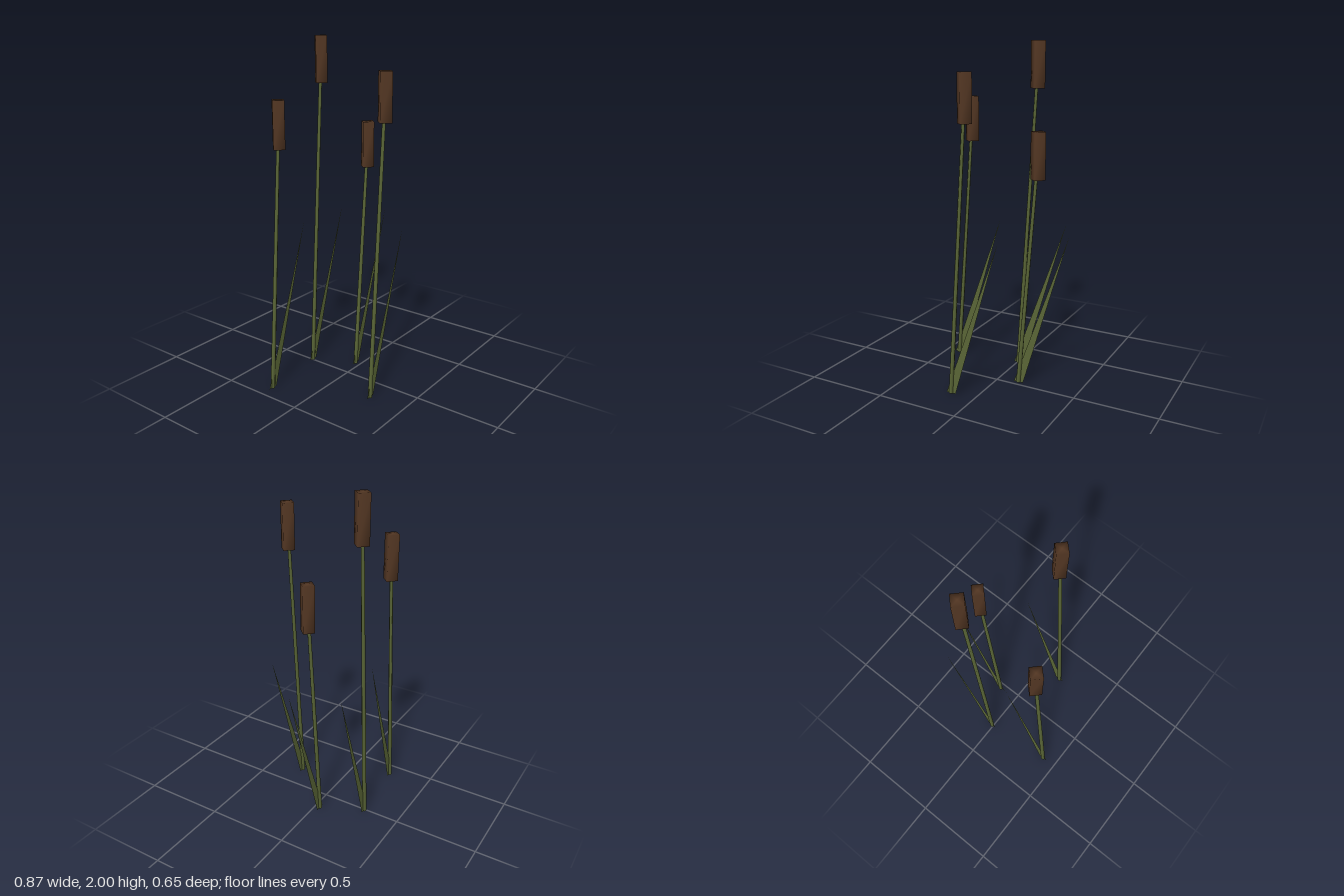
import * as THREE from 'three';
import { mergeVertices } from 'three/addons/utils/BufferGeometryUtils.js';

const green = new THREE.MeshStandardMaterial({ color: 0x5a6636, side: THREE.DoubleSide });
green.name = 'reed green';
const brown = new THREE.MeshStandardMaterial({ color: 0x553824 });
brown.name = 'seed head brown';

const HEAD_HEIGHT = 0.268;
const LEAN = 0.11;

// Share vertices across all edges, caps included, for soft shading
function soften(geometry) {
  geometry.deleteAttribute('normal');
  geometry.deleteAttribute('uv');
  const merged = mergeVertices(geometry, 1e-4);
  merged.computeVertexNormals();
  return merged;
}

// Tapered stalk sheared sideways so that it leans towards +x
function stemGeometry(height) {
  const g = new THREE.CylinderGeometry(0.01, 0.014, height, 5);
  g.translate(0, height / 2, 0);
  const p = g.attributes.position;
  for (let i = 0; i < p.count; i++) p.setX(i, p.getX(i) + LEAN * p.getY(i) / height);
  return soften(g);
}

// Flat blade tapering to a point
function leafGeometry() {
  const s = new THREE.Shape();
  s.moveTo(-0.03, 0);
  s.lineTo(0.03, 0);
  s.lineTo(0.305, 0.94);
  s.closePath();
  return new THREE.ShapeGeometry(s);
}

export function createModel() {
  const model = new THREE.Group();
  model.name = 'cattails';
  const headGeo = soften(new THREE.CylinderGeometry(0.046, 0.046, HEAD_HEIGHT, 4));
  const leafGeo = leafGeometry();

  const add = (parent, name, geometry, material) => {
    const mesh = new THREE.Mesh(geometry, material);
    mesh.name = name;
    parent.add(mesh);
    return mesh;
  };

  // Base x, base z and full height of each plant
  const plants = [
    [-0.41, -0.243, 1.677],
    [-0.155, 0.277, 1.84],
    [0.007, -0.28, 2.0],
    [0.129, -0.033, 1.515],
  ];
  for (const [x, z, top] of plants) {
    const plant = new THREE.Group();
    plant.name = 'cattail';
    plant.position.set(x, 0, z);
    const headY = top - HEAD_HEIGHT / 2;
    add(plant, 'stem', stemGeometry(headY), green);
    add(plant, 'leaf', leafGeo, green);
    add(plant, 'seedHead', headGeo, brown).position.set(LEAN, headY, 0);
    model.add(plant);
  }
  return model;
}
